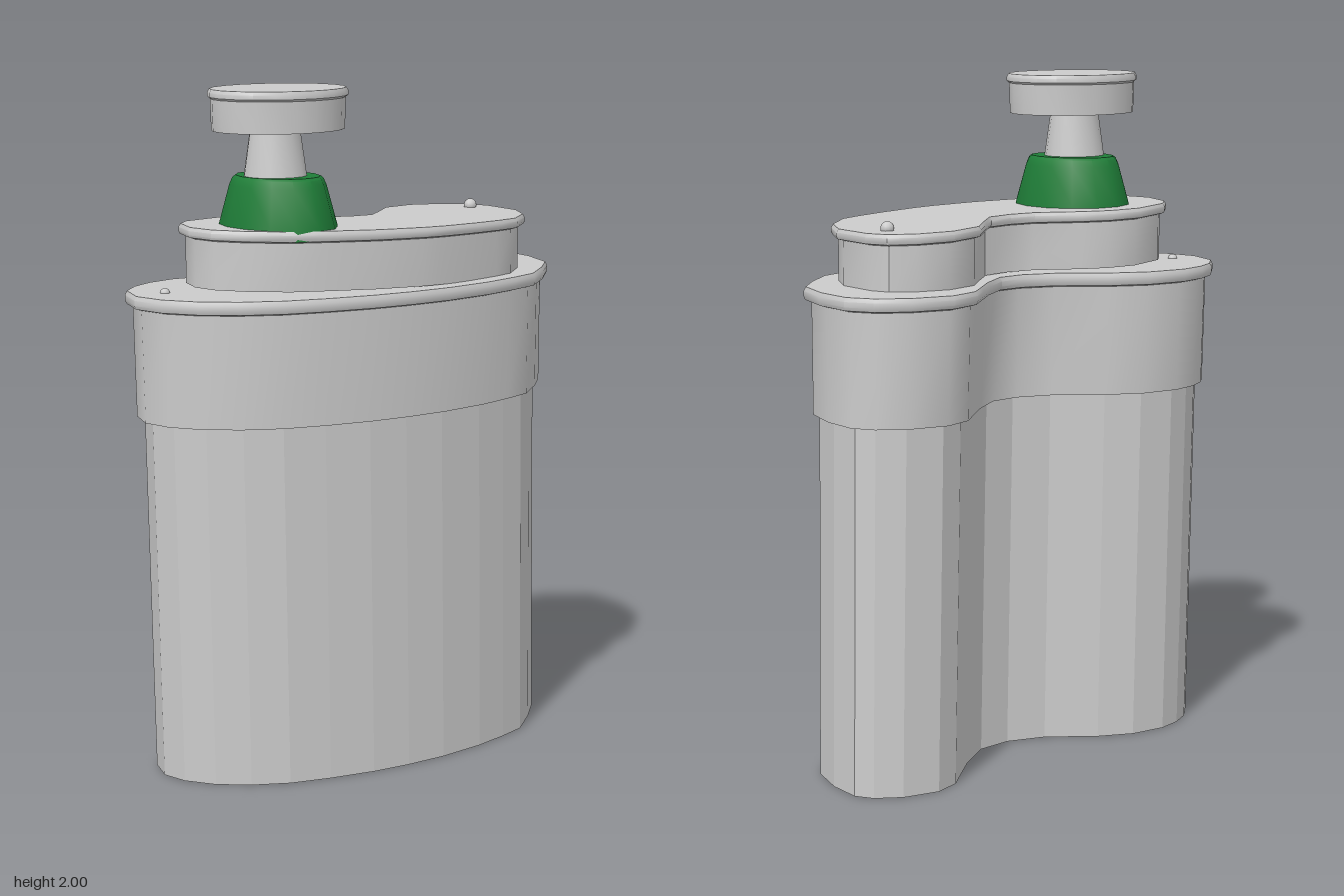
import * as THREE from 'three';
import { toCreasedNormals } from 'three/addons/utils/BufferGeometryUtils.js';

// Kidney outlines as [x, z], anticlockwise seen from above
const CASE = [
  [-0.436, -0.344], [-0.53, -0.33], [-0.61, -0.295], [-0.68, -0.237], [-0.727, -0.125], [-0.712, -0.02],
  [-0.655, 0.08], [-0.57, 0.16], [-0.465, 0.225], [-0.34, 0.27], [-0.2, 0.307], [-0.075, 0.327],
  [0.06, 0.337], [0.22, 0.33], [0.34, 0.31], [0.445, 0.285], [0.56, 0.205], [0.655, 0.123],
  [0.71, -0.01], [0.727, -0.135], [0.69, -0.215], [0.607, -0.28], [0.48, -0.317], [0.373, -0.293],
  [0.29, -0.232], [0.206, -0.17], [0.1, -0.11], [0.015, -0.11], [-0.08, -0.15], [-0.2, -0.257], [-0.31, -0.32],
];
const LID = [
  [-0.335, -0.253], [-0.475, -0.222], [-0.533, -0.175], [-0.576, -0.07], [-0.564, 0.02], [-0.506, 0.1],
  [-0.405, 0.183], [-0.28, 0.23], [-0.15, 0.272], [0, 0.296], [0.08, 0.298], [0.206, 0.288],
  [0.32, 0.272], [0.4, 0.253], [0.506, 0.175], [0.576, 0.07], [0.595, -0.074], [0.576, -0.144],
  [0.506, -0.2], [0.4, -0.23], [0.276, -0.206], [0.18, -0.128], [0.1, -0.066], [0.02, -0.066],
  [-0.055, -0.09], [-0.16, -0.183], [-0.235, -0.23],
];

const grey = new THREE.MeshStandardMaterial({ color: 0xcccccc });
const greyFlat = new THREE.MeshStandardMaterial({ color: 0xcccccc, flatShading: true });
const green = new THREE.MeshStandardMaterial({ color: 0x1f7d38 });

// Move an outline along its corner normals
function offset(outline, d) {
  const n = outline.length;
  return outline.map(([x, z], i) => {
    const [ax, az] = outline[(i + n - 1) % n];
    const [bx, bz] = outline[(i + 1) % n];
    const len = Math.hypot(bx - ax, bz - az);
    return [x - (bz - az) / len * d, z + (bx - ax) / len * d];
  });
}

// Closed solid through levels [offset, y, x shift]; tilt slopes it along x
function loft(outline, levels, tilt = 0, crease = 0.6) {
  const n = outline.length, pos = [], index = [];
  for (const [d, y, shift = 0] of levels) {
    for (const [x, z] of offset(outline, d)) pos.push(x + shift, y + tilt * x, z);
  }
  for (let l = 0; l < levels.length - 1; l++) {
    for (let i = 0; i < n; i++) {
      const a = l * n + i, b = l * n + (i + 1) % n;
      index.push(a, b, b + n, a, b + n, a + n);
    }
  }
  const cap = (level) => THREE.ShapeUtils.triangulateShape(
    offset(outline, levels[level][0]).map(([x, z]) => new THREE.Vector2(x, -z)), []);
  const last = levels.length - 1;
  for (const [a, b, c] of cap(0)) index.push(a, c, b);
  for (const [a, b, c] of cap(last)) index.push(last * n + a, last * n + b, last * n + c);
  const geo = new THREE.BufferGeometry();
  geo.setAttribute('position', new THREE.Float32BufferAttribute(pos, 3));
  geo.setIndex(index);
  return toCreasedNormals(geo, crease);
}

// Lathe from [radius, y] points, squashed to an oval along z
function oval(profile, sides, depth) {
  const geo = new THREE.LatheGeometry(profile.map(([r, y]) => new THREE.Vector2(r, y)), sides);
  geo.scale(1, 1, depth);
  return toCreasedNormals(geo, 0.6);
}

export function createModel() {
  const group = new THREE.Group();
  const add = (name, geo, material, x = 0, y = 0, z = 0) => {
    const mesh = new THREE.Mesh(geo, material);
    mesh.name = name;
    mesh.position.set(x, y, z);
    group.add(mesh);
  };

  // Faceted body, leaning slightly
  add('body', loft(CASE, [[-0.05, 0, 0.026], [-0.046, 1.1, 0.006]]), greyFlat);

  // Collar with a thin projecting rim
  add('collar', loft(CASE, [
    [-0.026, 1.06, 0.004], [-0.022, 1.385], [-0.004, 1.39], [0, 1.4], [0, 1.415], [-0.006, 1.427],
  ], 0.003), grey);

  // Smaller kidney lid, tilted down to one side
  add('lid', loft(LID, [
    [-0.02, 1.43], [-0.02, 1.568], [-0.003, 1.573], [0, 1.58], [0, 1.592], [-0.006, 1.602],
  ], -0.02), grey);

  // Green oval base of the plunger
  add('plungerBase', oval([
    [0, 1.58], [0.158, 1.58], [0.156, 1.612], [0.128, 1.725], [0.12, 1.745], [0.112, 1.752], [0, 1.752],
  ], 14, 1.22), green, -0.32, 0, 0.016);

  // Tapered stem
  add('plungerStem', oval([
    [0, 1.74], [0.095, 1.74], [0.074, 1.885], [0, 1.885],
  ], 16, 0.93), grey, -0.333, 0, 0.021);

  // Oval push button with a lipped top
  add('pushButton', oval([
    [0, 1.882], [0.203, 1.882], [0.206, 1.972], [0.214, 1.978], [0.214, 1.99], [0.208, 2], [0, 2],
  ], 20, 0.83), grey, -0.318, 0, 0.017);

  // Small studs on the collar and the lid
  const stud = (r) => new THREE.SphereGeometry(r, 12, 8);
  add('collarStud', stud(0.015), grey, -0.619, 1.424, -0.127);
  add('lidStud', stud(0.02), grey, 0.507, 1.598, -0.068);

  return group;
}
